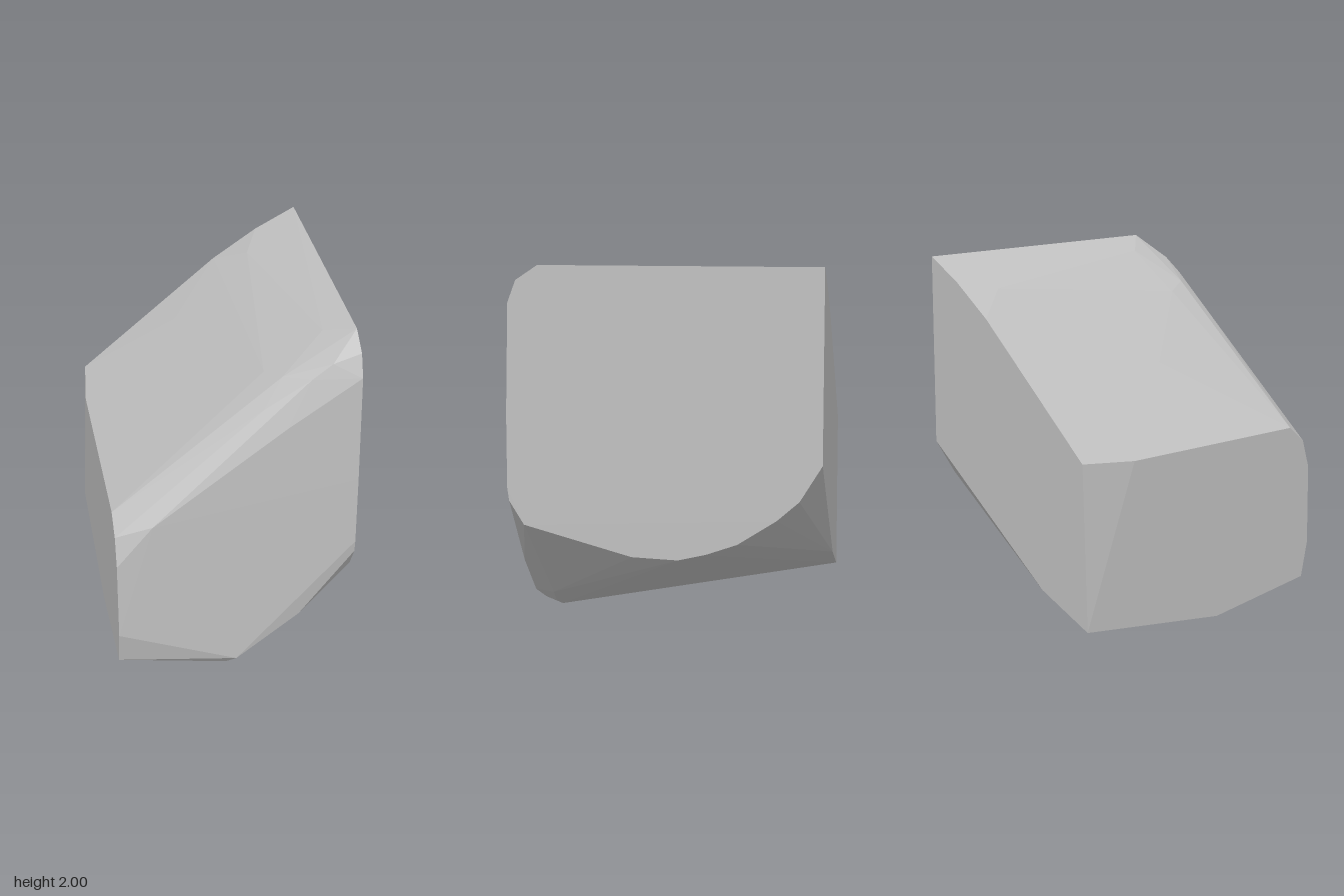
import * as THREE from 'three';
import { ConvexGeometry } from 'three/addons/geometries/ConvexGeometry.js';

const HALF = 0.645; // half width between the two flat cut sides

// Corner points of the chiselled boulder, grouped by region.
const rightSide = [ // flat +x face, as [y, z]
  [2, -0.85], [2, 0.67], [1.92, 0.79], [1.8, 0.835], [1.2, 0.85], [0.8, 0.85], [0.73, 0.84],
  [0.6, 0.76], [0.44, 0.17], [0.43, -0.08], [0.465, -0.23], [0.525, -0.4], [0.66, -0.61],
  [0.765, -0.73], [0.96, -0.85],
];
const leftSide = [ // flat -x face, as [y, z]
  [0.16, -0.85], [1.025, -0.52], [1.02, 0.67], [0.93, 0.78], [0.77, 0.83], [0.32, 0.835],
  [0.12, 0.79], [0.035, 0.1],
];
const slopedTop = [
  [0.42, 1.88, -0.85], [0.17, 1.71, -0.85], [-0.61, 1.055, -0.85], [0.33, 1.835, -0.64],
  [0.5, 1.93, 0.53], [0.19, 1.72, 0.54], [-0.1, 1.485, -0.57], [-0.19, 1.41, 0.08],
];
const frontBevel = [
  [0.08, 1.61, 0.65], [0.26, 1.76, 0.68], [-0.5, 1.06, 0.77], [0.15, 1.62, 0.76],
  [0.39, 1.79, 0.79], [0.5, 1.87, 0.785], [0.26, 1.54, 0.837], [-0.45, 1.01, 0.837],
];
const underside = [
  [0, 0.09, 0.85], [-0.05, 0.035, 0.8], [-0.04, 0, 0.7], [0.04, 0.035, 0.72], [0.2, 0.125, 0.7],
  [0.35, 0.34, 0.83], [0.45, 0.395, 0.69], [-0.28, 0.305, -0.85],
];

export function createModel() {
  const group = new THREE.Group();
  group.name = 'rock';

  const stone = new THREE.MeshStandardMaterial({ color: 0xc0c0c0 });
  stone.name = 'grey stone';

  const points = [
    ...rightSide.map(([y, z]) => [HALF, y, z]),
    ...leftSide.map(([y, z]) => [-HALF, y, z]),
    ...slopedTop, ...frontBevel, ...underside,
  ].map((p) => new THREE.Vector3(...p));

  // Faceted solid wrapped around the corners
  const boulder = new THREE.Mesh(new ConvexGeometry(points), stone);
  boulder.name = 'boulder';
  group.add(boulder);
  return group;
}
